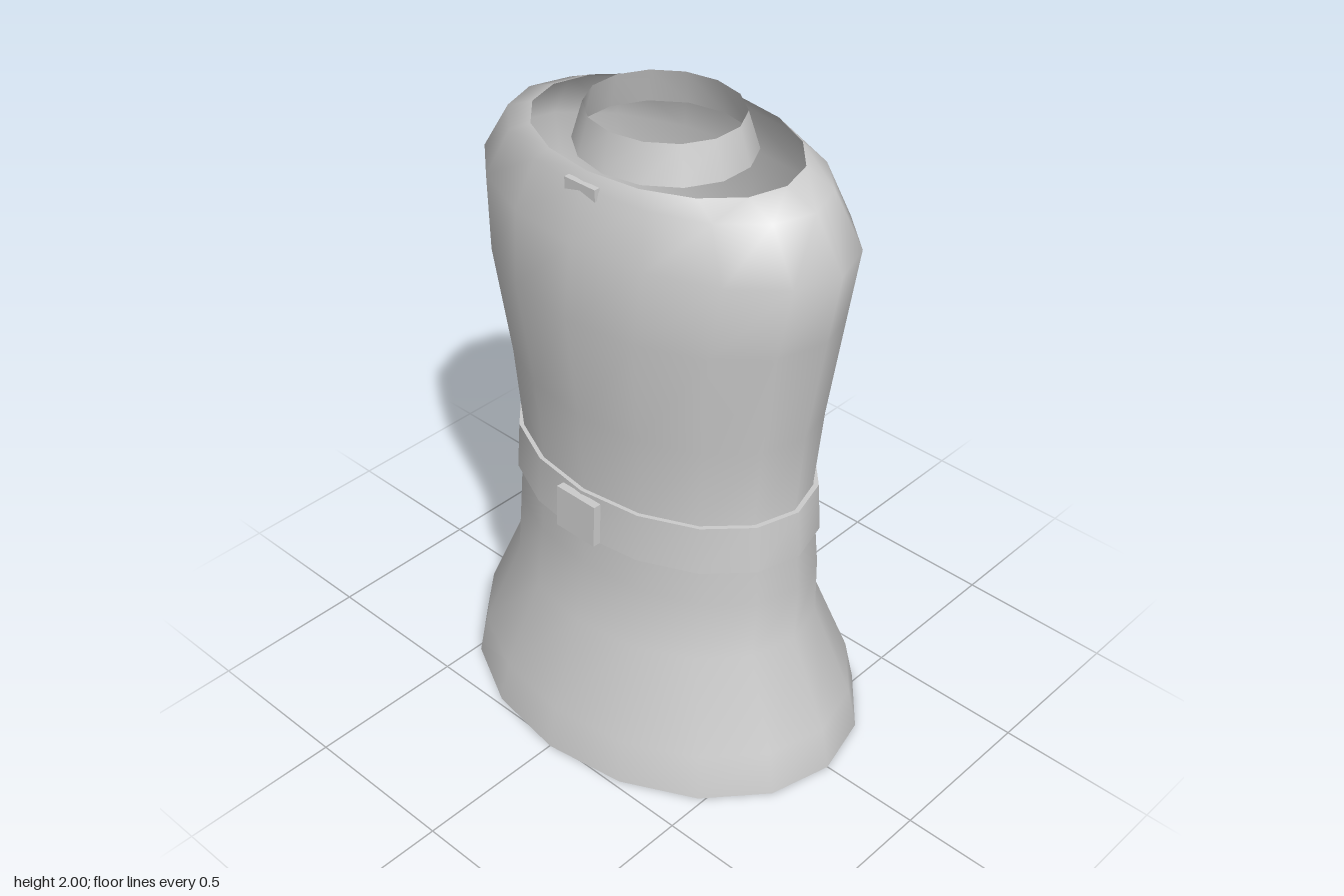
import * as THREE from 'three';

// Open loft of elliptical rings; each row is [y, halfWidth, frontDepth, backDepth]
function loft(rows, sides) {
  const pos = [], idx = [];
  rows.forEach(([y, rx, front, back]) => {
    for (let i = 0; i < sides; i++) {
      const a = (i / sides) * Math.PI * 2, c = Math.cos(a);
      pos.push(Math.sin(a) * rx, y, c * (c > 0 ? front : back));
    }
  });
  for (let r = 0; r < rows.length - 1; r++) {
    for (let i = 0; i < sides; i++) {
      const a = r * sides + i, b = r * sides + (i + 1) % sides;
      idx.push(a, b, b + sides, a, b + sides, a + sides);
    }
  }
  const g = new THREE.BufferGeometry();
  g.setAttribute('position', new THREE.Float32BufferAttribute(pos, 3));
  g.setIndex(idx);
  g.computeVertexNormals();
  return g;
}

export function createModel() {
  const model = new THREE.Group();
  const cloth = new THREE.MeshStandardMaterial({ color: 0xcccccc, side: THREE.DoubleSide });
  cloth.name = 'light grey';
  const add = (name, geometry) => {
    const mesh = new THREE.Mesh(geometry, cloth);
    mesh.name = name;
    model.add(mesh);
    return mesh;
  };

  // Hollow tunic, open at hem and shoulders
  add('tunicBody', loft([
    [0, 0.683, 0.52, 0.52],
    [0.14, 0.655, 0.492, 0.49],
    [0.43, 0.528, 0.385, 0.38],
    [0.63, 0.534, 0.35, 0.35],
    [0.91, 0.506, 0.34, 0.335],
    [1.17, 0.532, 0.355, 0.35],
    [1.51, 0.588, 0.392, 0.363],
    [1.73, 0.626, 0.365, 0.367],
    [1.88, 0.53, 0.318, 0.325],
    [1.92, 0.43, 0.295, 0.3],
  ], 16));

  // Separate neck band
  add('collar', loft([
    [1.89, 0.266, 0.24, 0.243],
    [2, 0.232, 0.21, 0.21],
  ], 14));

  // Belt band and its thin edges
  const low = [0.75, 0.531, 0.363, 0.369], high = [0.905, 0.521, 0.353, 0.358];
  const inset = ([y, x, f, b]) => [y, x - 0.02, f - 0.02, b - 0.02];
  add('beltBand', loft([low, high], 16));
  add('beltTopEdge', loft([high, inset(high)], 16));
  add('beltBottomEdge', loft([inset(low), low], 16));

  // Buckle plate
  const buckle = add('buckle', new THREE.BoxGeometry(0.152, 0.138, 0.026));
  buckle.position.set(0, 0.825, 0.366);
  buckle.rotation.x = -0.05;

  // Small notched pin below the neck
  const shape = new THREE.Shape([
    [-0.056, 0.018], [-0.056, -0.018], [0, -0.003], [0.056, -0.018], [0.056, 0.018],
  ].map(([x, y]) => new THREE.Vector2(x, y)));
  const pin = add('neckPin', new THREE.ExtrudeGeometry(shape, { depth: 0.018, bevelEnabled: false }));
  pin.position.set(0, 1.877, 0.306);

  return model;
}
